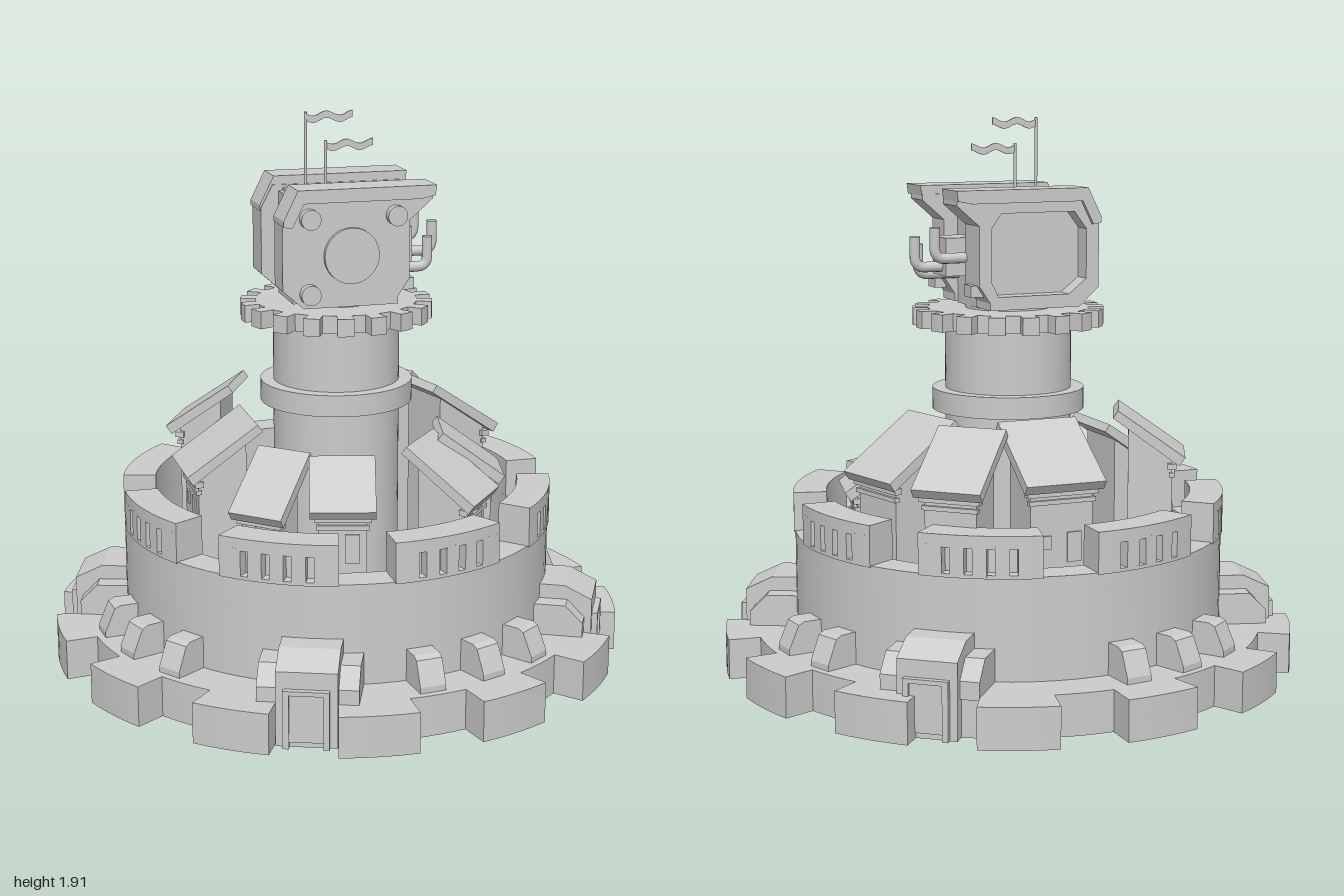
import * as THREE from 'three';
import { toCreasedNormals } from 'three/addons/utils/BufferGeometryUtils.js';

const D = Math.PI / 180;
const mat = new THREE.MeshStandardMaterial({ color: 0xcccccc });
const thinMat = new THREE.MeshStandardMaterial({ color: 0xcccccc, side: THREE.DoubleSide });

function add(parent, name, geo, x = 0, y = 0, z = 0, m = mat) {
  const mesh = new THREE.Mesh(geo, m);
  mesh.name = name;
  mesh.position.set(x, y, z);
  parent.add(mesh);
  return mesh;
}
function sub(parent, name, angle = 0) {
  const g = new THREE.Group();
  g.name = name;
  g.rotation.y = -angle * D;
  parent.add(g);
  return g;
}
const box = (w, h, d) => new THREE.BoxGeometry(w, h, d);
const cyl = (r, h, n = 48) => new THREE.CylinderGeometry(r, r, h, n);
const polar = (r, deg) => new THREE.Vector2(r * Math.cos(deg * D), -r * Math.sin(deg * D));
const points = pts => pts.map(p => new THREE.Vector2(...p));
const extrude = (shape, depth) => new THREE.ExtrudeGeometry(shape, { depth, bevelEnabled: false });

// side outline [x, y], with an optional hole, extruded to a width centred on z
function prism(pts, width, hole) {
  const shape = new THREE.Shape(points(pts));
  if (hole) shape.holes.push(new THREE.Path(points(hole)));
  return extrude(shape, width).translate(0, 0, -width / 2);
}
// plan shape raised from y0 to y1
const raise = (shape, y0, y1) => extrude(shape, y1 - y0).rotateX(-Math.PI / 2).translate(0, y0, 0);

// curved block between two radii and two angles
function sector(r0, r1, y0, y1, a0, a1) {
  const n = Math.max(2, Math.ceil((a1 - a0) / 3)), outer = [], inner = [];
  for (let i = 0; i <= n; i++) {
    const a = a0 + (a1 - a0) * i / n;
    outer.push(polar(r1, a));
    inner.unshift(polar(r0, a));
  }
  return toCreasedNormals(raise(new THREE.Shape([...outer, ...inner]), y0, y1), 0.3);
}

// counter-clockwise gear outline
function gearOutline(teeth, rValley, rTip, first, width) {
  const pts = [], pitch = 360 / teeth;
  for (let i = 0; i < teeth; i++) {
    const c = first + i * pitch;
    for (let k = 0; k <= 5; k++) pts.push(polar(rTip, c - width / 2 + width * k / 5));
    for (let k = 0; k <= 4; k++) pts.push(polar(rValley, c + width / 2 + (pitch - width) * k / 4));
  }
  return pts.reverse();
}
// toothed rim, hollow underneath, closed by a top plate
function gear(parent, name, teeth, rValley, rTip, first, width, y0, y1, wall) {
  const g = sub(parent, name);
  const inner = gearOutline(teeth, rValley - wall, rTip - wall, first, width - 2 * wall / rTip / D);
  const rim = new THREE.Shape(gearOutline(teeth, rValley, rTip, first, width));
  rim.holes.push(new THREE.Path([...inner].reverse()));
  add(g, 'gearRim', toCreasedNormals(raise(rim, y0, y1), 0.3), 0, 0, 0, thinMat);
  const plate = new THREE.ShapeGeometry(new THREE.Shape(inner)).rotateX(-Math.PI / 2);
  add(g, 'gearPlate', plate, 0, y1, 0, thinMat);
}

function buildBase(root) {
  gear(root, 'baseGear', 13, 0.89, 1, -13, 15, 0, 0.14, 0.012);
  // small buttresses
  for (const angle of [-21, -6, 54, 69, 84.5, 145, 160, 175, 234.5, 249.5, 264.5]) {
    const b = sub(root, 'buttress', angle);
    add(b, 'buttressBlock', prism([[0.7, 0.13], [0.865, 0.13], [0.865, 0.16], [0.83, 0.24], [0.81, 0.25], [0.7, 0.25]], 0.09));
  }
  // gatehouses with lower flanks and a framed door
  for (const angle of [27.5, 111.5, 198, 309.5]) {
    const g = sub(root, 'gatehouse', angle);
    add(g, 'gateTower', prism([[0.7, 0.13], [0.86, 0.13], [0.86, 0], [0.925, 0], [0.925, 0.255], [0.83, 0.3], [0.7, 0.3]], 0.2));
    add(g, 'gateFlanks', prism([[0.7, 0.13], [0.9, 0.13], [0.9, 0.19], [0.84, 0.25], [0.7, 0.25]], 0.33));
    add(g, 'gateDoor', box(0.02, 0.16, 0.11), 0.925, 0.1, 0);
    for (const s of [-1, 1]) add(g, 'doorPost', box(0.03, 0.19, 0.02), 0.93, 0.095, s * 0.065);
    add(g, 'doorLintel', box(0.03, 0.015, 0.15), 0.93, 0.19, 0);
  }
}

function buildDrum(root) {
  // hollow ring wall
  const profile = [[0.64, 0.485], [0.64, 0.1], [0.75, 0.1], [0.75, 0.485], [0.64, 0.485]];
  add(root, 'drumWall', toCreasedNormals(new THREE.LatheGeometry(points(profile), 96), 0.5));
  // battlements: four recessed windows each
  for (let i = 0; i < 8; i++) {
    const b = sub(root, 'battlement', 120.5 + i * 45);
    add(b, 'battlementBack', sector(0.64, 0.715, 0.48, 0.62, -15.5, 15.5));
    add(b, 'battlementLintel', sector(0.71, 0.755, 0.578, 0.62, -15.5, 15.5));
    add(b, 'battlementSill', sector(0.71, 0.755, 0.48, 0.492, -15.5, 15.5));
    const edges = [-15.5, -9.4, -7.4, -3.8, -1.8, 1.8, 3.8, 7.4, 9.4, 15.5];
    for (let k = 0; k < 10; k += 2)
      add(b, 'battlementPier', sector(0.71, 0.755, 0.485, 0.585, edges[k], edges[k + 1]));
  }
}

// lean-to house: x, z, facing angle, roof length, roof width, low eave, high eave
const houses = [
  [0.05, -0.47, -88, 0.27, 0.28, 0.75, 0.92],
  [0.36, -0.43, -46, 0.25, 0.24, 0.74, 0.91],
  [0.465, -0.165, -15, 0.28, 0.27, 0.74, 0.92],
  [0.46, 0.11, 13, 0.23, 0.22, 0.64, 0.80],
  [0.33, 0.3, 40, 0.26, 0.25, 0.62, 0.80],
  [-0.11, 0.47, 105, 0.19, 0.22, 0.67, 0.81],
  [-0.315, 0.3, 133, 0.22, 0.2, 0.62, 0.80],
  [-0.425, -0.05, 180, 0.26, 0.28, 0.68, 0.85],
  [-0.4, -0.31, 207, 0.24, 0.23, 0.77, 0.93],
];
function buildHouses(root) {
  for (const [x, z, angle, len, width, lo, hi] of houses) {
    const g = sub(root, 'house', angle);
    g.position.set(x, 0, z);
    const h = len / 2, t = 0.03, b = h - 0.045, w = width - 0.06;
    const under = r => lo + (hi - lo) * (h - r) / len - t + 0.005;
    add(g, 'houseWalls', prism([[-b, 0.145], [b, 0.145], [b, under(b)], [-b, under(-b)]], w));
    add(g, 'houseRoof', prism([[0.01 - h, hi], [-h - 0.008, hi - 0.025], [h - 0.02, lo - t], [h, lo]], width));
    // stepped ledges under the eave
    add(g, 'eaveLedge', box(0.03, 0.02, w + 0.03), b, lo - 0.035, 0);
    add(g, 'lowerLedge', box(0.02, 0.015, w + 0.015), b, lo - 0.065, 0);
    add(g, 'houseDoor', box(0.012, 0.1, 0.05), b, 0.53, -w / 5);
    add(g, 'houseWindow', box(0.012, 0.045, 0.035), b, 0.55, w / 4);
  }
  // footing showing beneath the floor
  const c = sub(root, 'footing', 45);
  for (const s of [-1, 1]) add(c, 'footingBlock', box(0.19, 0.03, 0.165), 0.44, 0.135, s * 0.09);
}

function buildColumn(root) {
  add(root, 'column', cyl(0.22, 1.11, 64), 0, 0.7, 0);
  add(root, 'collar', cyl(0.265, 0.075, 64), 0, 0.943, 0);
  gear(root, 'topGear', 18, 0.28, 0.333, 0, 10, 1.2, 1.26, 0.008);
  add(root, 'neck', cyl(0.15, 0.04), 0, 1.27, 0);
}

function buildHead(root) {
  const head = sub(root, 'head');
  const outline = [[-0.17, 1.275], [0.16, 1.275], [0.16, 1.3], [0.2, 1.36], [0.2, 1.56], [0.28, 1.63],
    [0.28, 1.65], [-0.2, 1.65], [-0.242, 1.57], [-0.242, 1.34]];
  const cap = [[-0.245, 1.56], [-0.215, 1.555], [-0.175, 1.635], [0.23, 1.635],
    [0.28, 1.645], [0.285, 1.68], [-0.195, 1.68], [-0.245, 1.58]];
  const panel = [[-0.13, 1.32], [0.13, 1.32], [0.155, 1.37], [0.155, 1.55], [0.12, 1.6], [-0.15, 1.6], [-0.195, 1.54], [-0.195, 1.37]];
  // front slab is plain, back slab has a sunken panel
  add(head, 'frontSlab', prism(outline, 0.11), 0, 0, 0.15);
  add(head, 'backSlab', prism(outline, 0.06), 0, 0, -0.125);
  add(head, 'backFrame', prism(outline, 0.065, panel), 0, 0, -0.1875);
  for (const s of [-1, 1]) {
    add(head, 'slabCap', prism(cap, 0.135), 0, 0, s * 0.167);
    add(head, 'footBlock', box(0.06, 0.04, 0.06), 0.19, 1.34, s * 0.165);
  }
  // core between the slabs
  add(head, 'core', box(0.33, 0.36, 0.2), -0.015, 1.45, 0);
  add(head, 'coreTop', box(0.25, 0.03, 0.19), -0.04, 1.625, 0);
  add(head, 'coreNose', box(0.13, 0.13, 0.12), 0.19, 1.445, 0);
  // round covers on the front
  const disc = (name, x, y, r, d) => add(head, name, cyl(r, d).rotateX(Math.PI / 2), x, y, 0.2 + d / 2);
  disc('frontDial', -0.005, 1.45, 0.095, 0.02);
  for (const [x, y] of [[-0.15, 1.58], [0.15, 1.58], [-0.15, 1.325]]) disc('cornerBolt', x, y, 0.034, 0.035);
  // exhaust pipes
  for (const [z, y, x] of [[0.09, 1.375, 0.30], [-0.012, 1.41, 0.35], [-0.095, 1.445, 0.31]]) {
    const path = new THREE.CurvePath();
    const p = (a, b) => new THREE.Vector3(a, b, z);
    path.add(new THREE.LineCurve3(p(0.14, y), p(x - 0.035, y)));
    path.add(new THREE.QuadraticBezierCurve3(p(x - 0.035, y), p(x, y), p(x, y + 0.035)));
    path.add(new THREE.LineCurve3(p(x, y + 0.035), p(x, y + 0.105)));
    add(head, 'exhaustPipe', new THREE.TubeGeometry(path, 24, 0.018, 12), 0, 0, 0, thinMat);
  }
  // flags: pole and rippling pennant
  for (const [x, top, z] of [[-0.11, 1.91, 0.01], [-0.055, 1.82, 0.065]]) {
    add(head, 'flagPole', cyl(0.005, top - 1.62, 8), x, (top + 1.62) / 2, z);
    const upper = [], lower = [];
    for (let i = 0; i <= 16; i++) {
      const u = i / 16, y = top - 0.018 + 0.008 * Math.sin(u * 11 + 3);
      upper.unshift([x + u * 0.165, y + 0.012]);
      lower.push([x + u * 0.165, y - 0.012]);
    }
    add(head, 'flag', prism([...lower, ...upper], 0.006), 0, 0, z, thinMat);
  }
}

export function createModel() {
  const root = new THREE.Group();
  root.name = 'fortressTower';
  buildBase(root);
  buildDrum(root);
  buildHouses(root);
  buildColumn(root);
  buildHead(root);
  return root;
}
